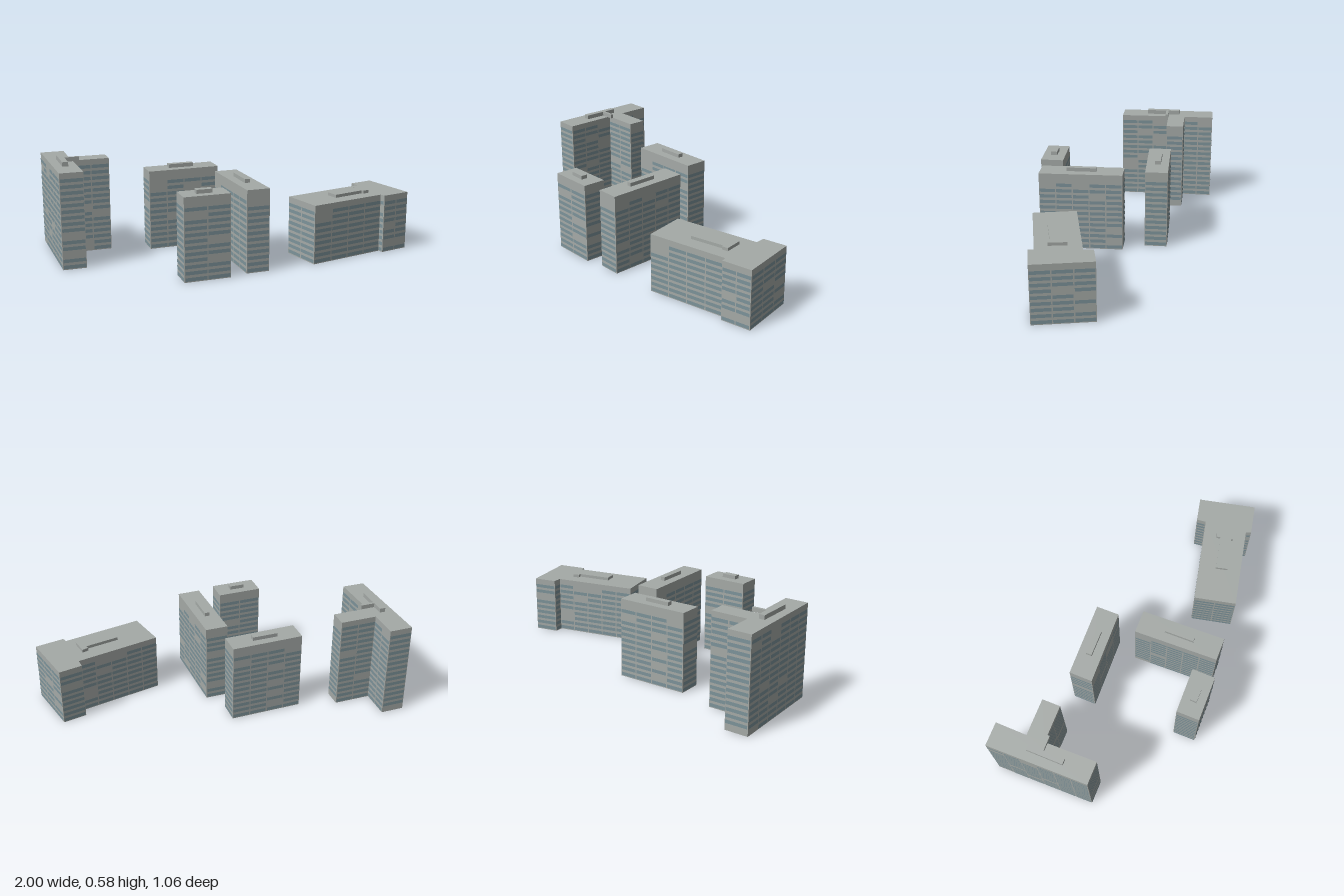
import * as THREE from 'three';
import { mergeGeometries } from 'three/addons/utils/BufferGeometryUtils.js';

const FLOOR = 0.0354, WINDOW_HEIGHT = 0.02, BAY = 0.107;

// Footprints run clockwise as [x, z] seen from above
const BUILDINGS = [
  { name: 'tallTower', height: 0.555, roofTop: 0.58,
    plan: [[-0.98, -0.535], [-0.842, -0.53], [-0.853, -0.345], [-0.636, -0.337],
      [-0.641, -0.23], [-0.857, -0.238], [-0.866, 0.068], [-1, 0.062]],
    plant: [[-0.934, -0.313], [-0.9, -0.311], [-0.904, -0.238], [-0.82, -0.235],
      [-0.82, -0.219], [-0.905, -0.222], [-0.911, -0.098], [-0.945, -0.1]] },
  { name: 'backSlab', height: 0.475, roofTop: 0.497,
    plan: [[-0.42, -0.264], [0.008, -0.254], [0.003, -0.12], [-0.427, -0.128]],
    plant: [[-0.286, -0.214], [-0.134, -0.208], [-0.136, -0.174], [-0.287, -0.179]] },
  { name: 'middleSlab', height: 0.475, roofTop: 0.497,
    plan: [[-0.064, 0.005], [0.07, 0.01], [0.061, 0.504], [-0.073, 0.5]],
    plant: [[-0.013, 0.168], [0.016, 0.169], [0.011, 0.343], [-0.019, 0.342]] },
  { name: 'smallTower', height: 0.475, roofTop: 0.497,
    plan: [[-0.436, 0.38], [-0.171, 0.388], [-0.178, 0.524], [-0.443, 0.515]],
    plant: [[-0.351, 0.432], [-0.262, 0.437], [-0.265, 0.475], [-0.355, 0.47]] },
  { name: 'lowBlock', height: 0.345, roofTop: 0.363,
    plan: [[0.302, 0.253], [0.805, 0.163], [0.802, 0.107], [0.941, 0.083],
      [1, 0.42], [0.826, 0.449], [0.818, 0.418], [0.345, 0.499]],
    plant: [[0.524, 0.315], [0.725, 0.281], [0.722, 0.259], [0.759, 0.249],
      [0.773, 0.352], [0.738, 0.358], [0.731, 0.347], [0.537, 0.385]] },
];

// Small seeded generator for the blank window bays
function makeRandom(seed) {
  return () => {
    seed = (seed * 16807) % 2147483647;
    return seed / 2147483647;
  };
}

const planShape = (plan) => new THREE.Shape(plan.map(([x, z]) => new THREE.Vector2(x, -z)));

// Upright rectangle centred at (x, y, z), turned to face the given angle
function panel(width, height, x, y, z, angle) {
  return new THREE.PlaneGeometry(width, height).rotateY(angle).translate(x, y, z);
}

// Calls back with length, facing angle and direction for each wall
function eachWall(plan, fn) {
  plan.forEach(([x0, z0], i) => {
    const [x1, z1] = plan[(i + 1) % plan.length];
    const length = Math.hypot(x1 - x0, z1 - z0);
    const dx = (x1 - x0) / length, dz = (z1 - z0) / length;
    fn({ x0, z0, dx, dz, length, angle: Math.atan2(dz, -dx) });
  });
}

function wallGeometry(plan, height) {
  const walls = [];
  eachWall(plan, (w) => {
    const mid = w.length / 2;
    walls.push(panel(w.length, height, w.x0 + w.dx * mid, height / 2, w.z0 + w.dz * mid, w.angle));
  });
  return mergeGeometries(walls);
}

// Window bands, split into bays with a few left blank
function windowGeometry(plan, height, random) {
  const bands = [];
  const rows = Math.floor((height - 0.02) / FLOOR);
  eachWall(plan, (w) => {
    if (w.length < 0.025) return;
    const bays = Math.max(1, Math.round(w.length / BAY));
    const bay = w.length / bays;
    for (let row = 0; row < rows; row++) {
      for (let b = 0; b < bays; b++) {
        if (random() < 0.1) continue;
        const t = (b + 0.5) * bay;
        bands.push(panel(bay - 0.007, WINDOW_HEIGHT,
          w.x0 + w.dx * t + w.dz * 0.002, 0.016 + row * FLOOR,
          w.z0 + w.dz * t - w.dx * 0.002, w.angle));
      }
    }
  });
  return mergeGeometries(bands);
}

export function createModel() {
  const concrete = new THREE.MeshStandardMaterial({ color: 0xa5aaa7, side: THREE.DoubleSide });
  concrete.name = 'concrete';
  const glass = new THREE.MeshStandardMaterial({ color: 0x7d939a });
  glass.name = 'windowGlass';

  const model = new THREE.Group();
  model.name = 'apartmentBlocks';
  const random = makeRandom(4711);

  for (const { name, height, roofTop, plan, plant } of BUILDINGS) {
    const building = new THREE.Group();
    building.name = name;
    const add = (part, geometry, material) => {
      const mesh = new THREE.Mesh(geometry, material);
      mesh.name = part;
      building.add(mesh);
      return mesh;
    };

    // Hollow shell, open at the ground
    add('walls', wallGeometry(plan, height), concrete);
    const roof = add('roof', new THREE.ShapeGeometry(planShape(plan)), concrete);
    roof.geometry.rotateX(-Math.PI / 2).translate(0, height, 0);

    // Plant room on the roof
    const room = new THREE.ExtrudeGeometry(planShape(plant), { depth: roofTop - height, bevelEnabled: false });
    add('roofPlantRoom', room.rotateX(-Math.PI / 2).translate(0, height, 0), concrete);

    add('windows', windowGeometry(plan, height, random), glass);
    model.add(building);
  }
  return model;
}
